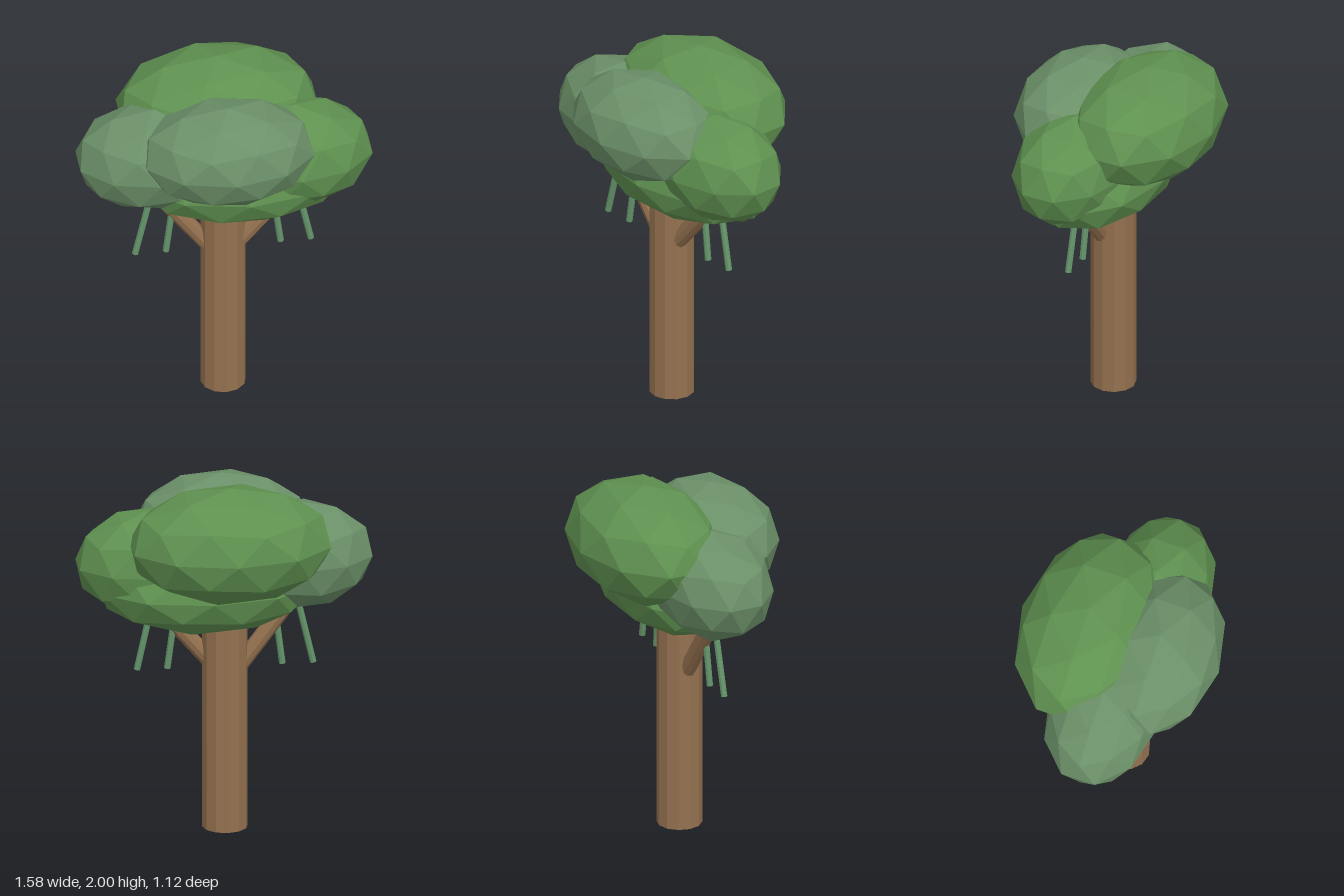
import * as THREE from 'three';

const mat = (color) => new THREE.MeshStandardMaterial({ color, flatShading: true });

// Cylinder running between two points
function rod(name, a, b, radius, sides, material) {
  const from = new THREE.Vector3(...a), to = new THREE.Vector3(...b);
  const dir = to.clone().sub(from);
  const mesh = new THREE.Mesh(new THREE.CylinderGeometry(radius, radius, dir.length(), sides), material);
  mesh.name = name;
  mesh.position.copy(from).add(to).multiplyScalar(0.5);
  mesh.quaternion.setFromUnitVectors(new THREE.Vector3(0, 1, 0), dir.normalize());
  return mesh;
}

export function createModel() {
  const tree = new THREE.Group();
  tree.name = 'tree';
  const bark = mat(0x94714f), leaf = mat(0x5f9150), paleLeaf = mat(0x6b9068), vine = mat(0x64946a);

  // Trunk and the two side branches
  tree.add(rod('trunk', [-0.003, 0, 0.037], [-0.003, 1.3, 0.037], 0.123, 12, bark));
  tree.add(rod('rightBranch', [-0.06, 0.88, 0.04], [-0.42, 1.36, 0.04], 0.045, 10, bark));
  tree.add(rod('leftBranch', [0.05, 0.91, 0.062], [0.42, 1.34, 0.062], 0.047, 10, bark));

  // Low-poly ball with a vertex at each pole, stretched into the leaf clumps
  const ball = new THREE.IcosahedronGeometry(1, 1);
  ball.rotateX(-Math.atan((1 + Math.sqrt(5)) / 2));
  ball.rotateY(-Math.PI / 2);
  const clumps = [
    ['baseFoliage', [0.1, 1.387, 0.03], [0.6, 0.262, 0.356], leaf],
    ['backFoliage', [-0.003, 1.68, -0.175], [0.56, 0.32, 0.385], leaf],
    ['frontFoliage', [-0.005, 1.657, 0.228], [0.478, 0.288, 0.33], paleLeaf],
    ['leftFoliage', [0.38, 1.512, 0.073], [0.43, 0.302, 0.3], leaf],
    ['rightFoliage', [-0.38, 1.535, 0.033], [0.43, 0.3, 0.305], paleLeaf],
  ];
  for (const [name, position, scale, material] of clumps) {
    const clump = new THREE.Mesh(ball, material);
    clump.name = name;
    clump.position.set(...position);
    clump.scale.set(...scale);
    tree.add(clump);
  }

  // Hanging vines, a pair on each side
  for (const [bottom, top] of [[-0.483, -0.39], [-0.316, -0.265], [0.306, 0.255], [0.47, 0.385]]) {
    tree.add(rod('vine', [bottom, 0.905, 0.058], [top, 1.3, 0.048], 0.018, 8, vine));
  }
  return tree;
}
